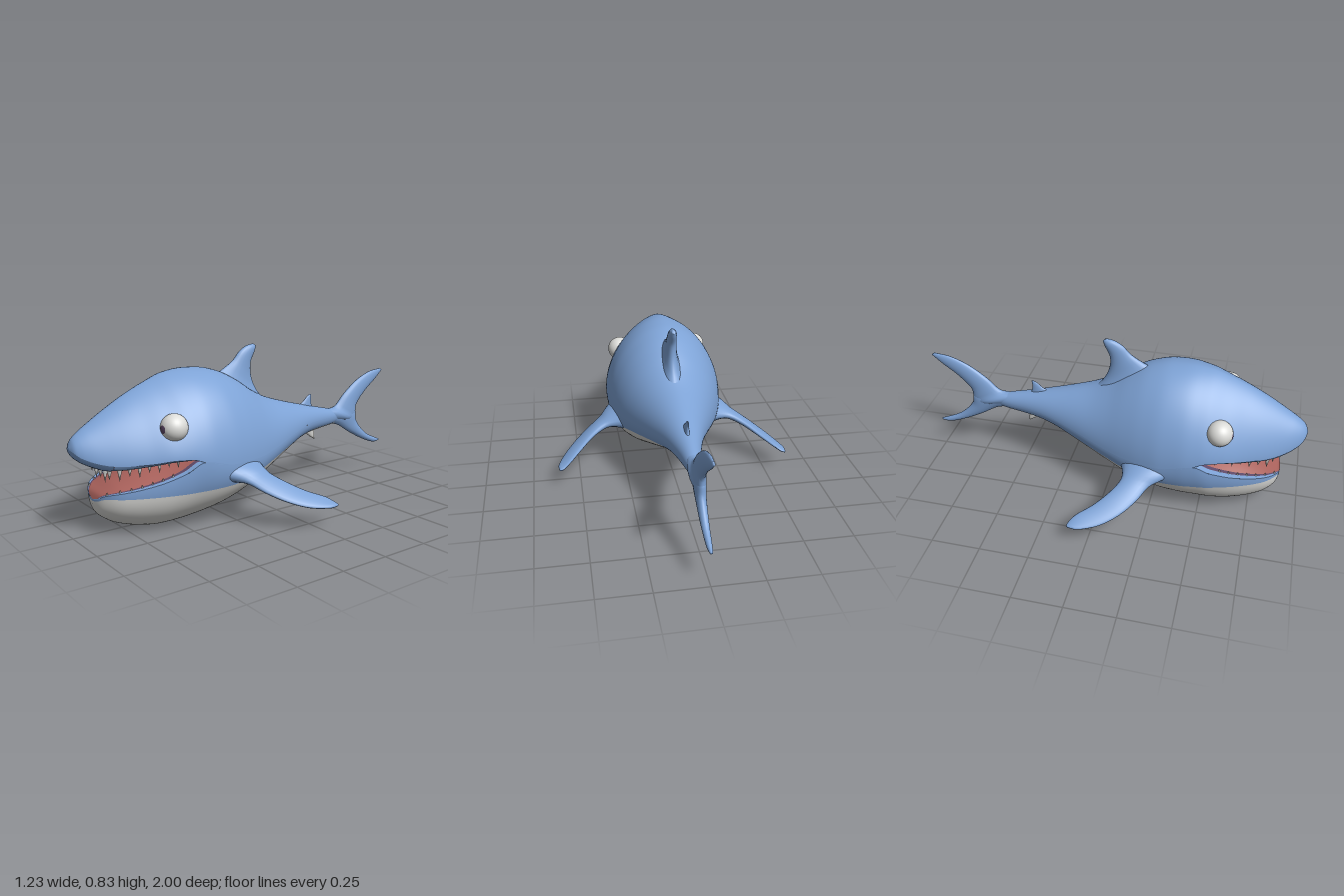
import * as THREE from 'three';

const mat = (name, color, side = THREE.FrontSide) => {
  const m = new THREE.MeshStandardMaterial({ color, side });
  m.name = name;
  return m;
};
const blue = mat('skin blue', 0x7ea3d6);
const white = mat('belly white', 0xdcdcd9);
const red = mat('mouth red', 0xa9615b);
const purple = mat('dark purple', 0x604a68);

// Smooth monotone curve through [z, value] points, listed front to back
function curve(pts) {
  const slope = i => (pts[i + 1][1] - pts[i][1]) / (pts[i + 1][0] - pts[i][0]);
  const tangent = i => {
    if (i === 0) return slope(0);
    if (i === pts.length - 1) return slope(i - 1);
    const a = slope(i - 1), b = slope(i);
    return a * b <= 0 ? 0 : 2 * a * b / (a + b);
  };
  return z => {
    let i = 0;
    while (i < pts.length - 2 && z < pts[i + 1][0]) i++;
    const h = pts[i + 1][0] - pts[i][0];
    const t = THREE.MathUtils.clamp((z - pts[i][0]) / h, 0, 1), t2 = t * t, t3 = t2 * t;
    return (2 * t3 - 3 * t2 + 1) * pts[i][1] + (t3 - 2 * t2 + t) * h * tangent(i)
      + (3 * t2 - 2 * t3) * pts[i + 1][1] + (t3 - t2) * h * tangent(i + 1);
  };
}

// Body profiles along z
const CORNER = 0.47, JAW = 0.895, END = -0.7;
const top = curve([[1, 0.43], [0.985, 0.468], [0.95, 0.5], [0.9, 0.533], [0.8, 0.595], [0.7, 0.65], [0.6, 0.695], [0.5, 0.73],
  [0.4, 0.741], [0.3, 0.735], [0.2, 0.71], [0.1, 0.66], [0, 0.595], [-0.1, 0.545], [-0.2, 0.512], [-0.4, 0.458], [-0.6, 0.41], [END, 0.38]]);
const bottom = curve([[JAW, 0.15], [0.88, 0.105], [0.85, 0.075], [0.8, 0.045], [0.7, 0.014], [0.6, 0], [0.5, 0.004], [0.4, 0.018],
  [0.3, 0.04], [0.2, 0.07], [0, 0.155], [-0.2, 0.24], [-0.3, 0.28], [-0.4, 0.303], [-0.6, 0.325], [END, 0.35]]);
const backWidth = [[CORNER, 0.308], [0.4, 0.316], [0.3, 0.314], [0.2, 0.297], [0.1, 0.268], [0, 0.23], [-0.1, 0.19],
  [-0.2, 0.15], [-0.3, 0.112], [-0.4, 0.08], [-0.5, 0.055], [-0.6, 0.036], [END, 0.005]];
const headWidth = curve([[1, 0], [0.99, 0.04], [0.97, 0.066], [0.94, 0.092], [0.9, 0.12], [0.8, 0.178], [0.7, 0.226], [0.6, 0.272], ...backWidth]);
const jawWidth = curve([[JAW, 0], [0.89, 0.05], [0.87, 0.1], [0.84, 0.14], [0.8, 0.172], [0.7, 0.224], [0.6, 0.264], ...backWidth]);
const backMid = [[CORNER, 0.345], [0.3, 0.31], [0.1, 0.305], [0, 0.315], [-0.2, 0.35], [-0.4, 0.375], [-0.6, 0.37], [END, 0.365]];
const upperLip = curve([[1, 0.425], [0.97, 0.395], [0.9, 0.365], [0.85, 0.355], [0.8, 0.352], [0.7, 0.355], [0.6, 0.365], [0.52, 0.362], ...backMid]);
const lowerLip = curve([[JAW, 0.172], [0.88, 0.2], [0.85, 0.215], [0.75, 0.237], [0.65, 0.262], [0.55, 0.3], ...backMid]);
const seam = curve([[JAW, 0.163], [0.88, 0.185], [0.85, 0.193], [0.5, 0.196], [0.3, 0.2], [0.2, 0.212], [0, 0.255],
  [-0.2, 0.294], [-0.4, 0.324], [-0.6, 0.336], [END, 0.357]]);
const topRound = curve([[1, 1.8], [0.8, 1.6], [0.6, 1.5], [0.3, 1.9], [0, 1.9], [END, 2]]);
const lipCurl = curve([[1, 0], [0.97, 0.022], [0.9, 0.036], [0.85, 0.045], [0.7, 0.035], [0.6, 0.03], [CORNER, 0]]);
const tongueRise = curve([[JAW, 0], [0.86, 0.002], [0.8, 0.018], [0.65, 0.042], [0.55, 0.035], [CORNER, 0]]);

const spow = (v, p) => Math.sign(v) * Math.abs(v) ** p;

// Surface patch: point(z, t) swept from z0 back to z1, t running from t0 to t1
function patch(point, z0, z1, t0, t1, rows, cols) {
  const pos = [], idx = [];
  for (let r = 0; r <= rows; r++) for (let c = 0; c <= cols; c++) {
    const z = z0 + (z1 - z0) * (r / rows) ** 1.6;
    const [x, y] = point(z, t0 + (t1 - t0) * c / cols);
    pos.push(x, y, z);
    if (r < rows && c < cols) {
      const a = r * (cols + 1) + c, d = a + cols + 1;
      idx.push(a, a + 1, d, a + 1, d + 1, d);
    }
  }
  return build(pos, idx);
}

function build(pos, idx) {
  const g = new THREE.BufferGeometry();
  g.setAttribute('position', new THREE.Float32BufferAttribute(pos, 3));
  g.setIndex(idx);
  g.computeVertexNormals();
  return g;
}

// Fin lofted through [leading point, trailing point, half thickness] sections
function fin(sections, rows = 28, cols = 20) {
  const spline = k => new THREE.CatmullRomCurve3(sections.map(s => new THREE.Vector3(...s[k])));
  const lead = spline(0), trail = spline(1);
  const thick = new THREE.CatmullRomCurve3(sections.map(s => new THREE.Vector3(s[2], 0, 0)));
  const pos = [], idx = [];
  for (let r = 0; r <= rows; r++) {
    const t = r / rows, l = lead.getPoint(t), e = trail.getPoint(t);
    const mid = l.clone().add(e).multiplyScalar(0.5), half = l.clone().sub(e).multiplyScalar(0.5);
    const t1 = Math.min(1, t + 0.01), t0 = Math.max(0, t - 0.01);
    const along = lead.getPoint(t1).add(trail.getPoint(t1)).sub(lead.getPoint(t0)).sub(trail.getPoint(t0));
    const n = along.cross(half).normalize().multiplyScalar(thick.getPoint(t).x);
    for (let c = 0; c < cols; c++) {
      const a = c / cols * Math.PI * 2;
      const p = mid.clone().addScaledVector(half, Math.cos(a)).addScaledVector(n, Math.sin(a));
      pos.push(p.x, p.y, p.z);
      if (r < rows) {
        const i = r * cols + c, j = r * cols + (c + 1) % cols;
        idx.push(i, i + cols, j, j, i + cols, j + cols);
      }
    }
  }
  // rounded-off tip
  const last = rows * cols;
  for (let c = 1; c < cols - 1; c++) idx.push(last, last + c + 1, last + c);
  // keep faces outward
  let vol = 0;
  const v = i => new THREE.Vector3().fromArray(pos, i * 3).sub(new THREE.Vector3().fromArray(pos, 0));
  for (let i = 0; i < idx.length; i += 3) vol += v(idx[i]).dot(v(idx[i + 1]).cross(v(idx[i + 2])));
  if (vol < 0) idx.reverse();
  return build(pos, idx);
}
// Upright fin on the centre line, given [leadZ, leadY, trailZ, trailY, half thickness]
const uprightFin = rows => fin(rows.map(([lz, ly, tz, ty, t]) => [[0, ly, lz], [0, ty, tz], t]));

export function createModel() {
  const model = new THREE.Group();
  model.name = 'shark';
  const add = (name, geo, material, parent = model) => {
    const m = new THREE.Mesh(geo, material);
    m.name = name;
    parent.add(m);
    return m;
  };

  // Back and head, flanks with jaw sides, belly
  const upper = (z, t) => {
    const a = t * Math.PI / 2, p = 2 / topRound(z), mid = upperLip(z);
    return [headWidth(z) * spow(Math.sin(a), p), mid + (top(z) - mid) * Math.abs(Math.cos(a)) ** p];
  };
  const E = 2.1;
  const lower = (z, b) => {
    const mid = lowerLip(z);
    return [jawWidth(z) * spow(Math.cos(b), 2 / E), mid - (mid - bottom(z)) * Math.abs(Math.sin(b)) ** (2 / E)];
  };
  const seamAngle = z => {
    const mid = lowerLip(z);
    return Math.asin(THREE.MathUtils.clamp((mid - seam(z)) / (mid - bottom(z)), 0, 1) ** (E / 2));
  };
  add('backAndHead', patch(upper, 1, END, -1, 1, 90, 56), blue);
  add('leftFlank', patch((z, t) => lower(z, t * seamAngle(z)), JAW, END, 0, 1, 90, 10), blue);
  add('rightFlank', patch((z, t) => lower(z, Math.PI - t * seamAngle(z)), JAW, END, 1, 0, 90, 10), blue);
  add('belly', patch((z, t) => {
    const s = seamAngle(z);
    return lower(z, s + t * (Math.PI - 2 * s));
  }, JAW, END, 0, 1, 90, 40), white);

  // Snout underside, upper lips and palate
  const under = (z, u) => [headWidth(z) * u, upperLip(z) - lipCurl(z) * Math.sqrt(Math.max(0, 1 - u * u))];
  const FRONT = 0.85, RIM = 0.8;
  add('snoutUnderside', patch(under, 1, FRONT, 1, -1, 16, 24), blue);
  add('leftUpperLip', patch(under, FRONT, CORNER, 1, RIM, 24, 6), blue);
  add('rightUpperLip', patch(under, FRONT, CORNER, -RIM, -1, 24, 6), blue);
  add('palate', patch((z, u) => {
    const [x, y] = under(z, RIM);
    return [x * u, y + 0.8 * lipCurl(z) * (1 - u * u)];
  }, FRONT, CORNER, 1, -1, 24, 16), red);

  // Lower lips, gums and tongue
  const floor = (z, u) => [jawWidth(z) * u,
    lowerLip(z) + (Math.abs(u) < RIM ? tongueRise(z) * (1 - (u / RIM) ** 2) : 0)];
  for (const [side, s] of [['left', 1], ['right', -1]]) {
    const strip = (a, b) => patch(floor, JAW, CORNER, s > 0 ? a : -b, s > 0 ? b : -a, 30, 4);
    add(side + 'LowerLip', strip(0.88, 1), blue);
    add(side + 'Gum', strip(RIM, 0.88), purple);
  }
  add('tongue', patch(floor, JAW, CORNER, -RIM, RIM, 30, 24), red);

  // Teeth
  const teeth = new THREE.Group();
  teeth.name = 'teeth';
  model.add(teeth);
  const tooth = (x, y, z, r, h, down) => {
    const t = add(down ? 'upperTooth' : 'lowerTooth', new THREE.ConeGeometry(r, h, 8), white, teeth);
    t.position.set(x, y + (down ? -1 : 1) * (h / 2 - 0.008), z);
    if (down) t.rotation.x = Math.PI;
  };
  for (let i = -2; i <= 2; i++) {
    const [x, y] = under(0.848, i * 0.3);
    tooth(x, y, 0.848, 0.014, i % 2 ? 0.065 : 0.05, true);
  }
  for (const s of [-1, 1]) for (let i = 0; i < 7; i++) {
    const z = 0.82 - i * 0.042, [x, y] = under(z, s * 0.82);
    tooth(x, y, z, 0.013 - i * 0.0007, (i % 2 ? 0.045 : 0.06) - i * 0.003, true);
    const zl = 0.865 - i * 0.045, [lx, ly] = floor(zl, s * 0.86);
    tooth(lx, ly, zl, 0.008, 0.022, false);
  }

  // Eyes looking forward
  for (const [side, s] of [['left', 1], ['right', -1]]) {
    const eye = new THREE.Group();
    eye.name = side + 'Eye';
    eye.position.set(s * 0.217, 0.508, 0.577);
    add('eyeball', new THREE.SphereGeometry(0.065, 32, 24), white, eye);
    const pupil = add('pupil', new THREE.SphereGeometry(0.0665, 20, 6, 0, Math.PI * 2, 0, 0.3), purple, eye);
    pupil.rotation.set(Math.PI / 2, 0, 0);
    pupil.rotation.z = -s * 0.08;
    model.add(eye);
  }

  // Pectoral fins
  const pectoral = fin([
    [[0.23, 0.27, 0.4], [0.21, 0.25, 0.08], 0.08], [[0.312, 0.25, 0.33], [0.295, 0.245, 0.115], 0.046],
    [[0.36, 0.222, 0.265], [0.35, 0.235, 0.12], 0.028], [[0.43, 0.185, 0.22], [0.42, 0.205, 0.08], 0.021],
    [[0.51, 0.145, 0.15], [0.49, 0.165, 0.01], 0.017], [[0.575, 0.115, 0.06], [0.55, 0.135, -0.065], 0.014],
    [[0.613, 0.105, -0.04], [0.588, 0.112, -0.093], 0.01], [[0.611, 0.106, -0.085], [0.604, 0.107, -0.095], 0.004]]);
  add('leftPectoralFin', pectoral, blue);
  add('rightPectoralFin', pectoral, blue).scale.x = -1;

  // Centre-line fins and forked tail
  add('dorsalFin', uprightFin([[0.22, 0.68, -0.11, 0.52, 0.05], [0.14, 0.72, -0.05, 0.59, 0.034], [0.09, 0.752, -0.02, 0.66, 0.027],
    [0.045, 0.797, -0.018, 0.73, 0.023], [0, 0.82, -0.043, 0.785, 0.019], [-0.035, 0.826, -0.053, 0.812, 0.009]]), blue);
  add('smallDorsalFin', uprightFin([[-0.32, 0.45, -0.47, 0.42, 0.014], [-0.38, 0.476, -0.448, 0.45, 0.011],
    [-0.415, 0.505, -0.442, 0.488, 0.007], [-0.437, 0.516, -0.444, 0.513, 0.003]]), blue);
  add('ventralFin', uprightFin([[-0.34, 0.33, -0.48, 0.34, 0.02], [-0.4, 0.3, -0.47, 0.306, 0.013],
    [-0.44, 0.272, -0.472, 0.273, 0.008], [-0.468, 0.255, -0.474, 0.256, 0.003]]), white);
  add('upperTailLobe', uprightFin([[-0.52, 0.42, -0.6, 0.34, 0.03], [-0.62, 0.42, -0.78, 0.335, 0.03], [-0.7, 0.49, -0.793, 0.41, 0.025],
    [-0.8, 0.56, -0.86, 0.485, 0.02], [-0.9, 0.6, -0.945, 0.55, 0.014], [-0.985, 0.61, -1, 0.597, 0.006]]), blue);
  add('lowerTailLobe', uprightFin([[-0.52, 0.335, -0.6, 0.4, 0.028], [-0.64, 0.315, -0.78, 0.39, 0.029], [-0.74, 0.257, -0.797, 0.32, 0.024],
    [-0.85, 0.2, -0.875, 0.235, 0.019], [-0.95, 0.163, -0.962, 0.19, 0.013], [-0.992, 0.165, -1, 0.175, 0.006]]), blue);
  return model;
}
